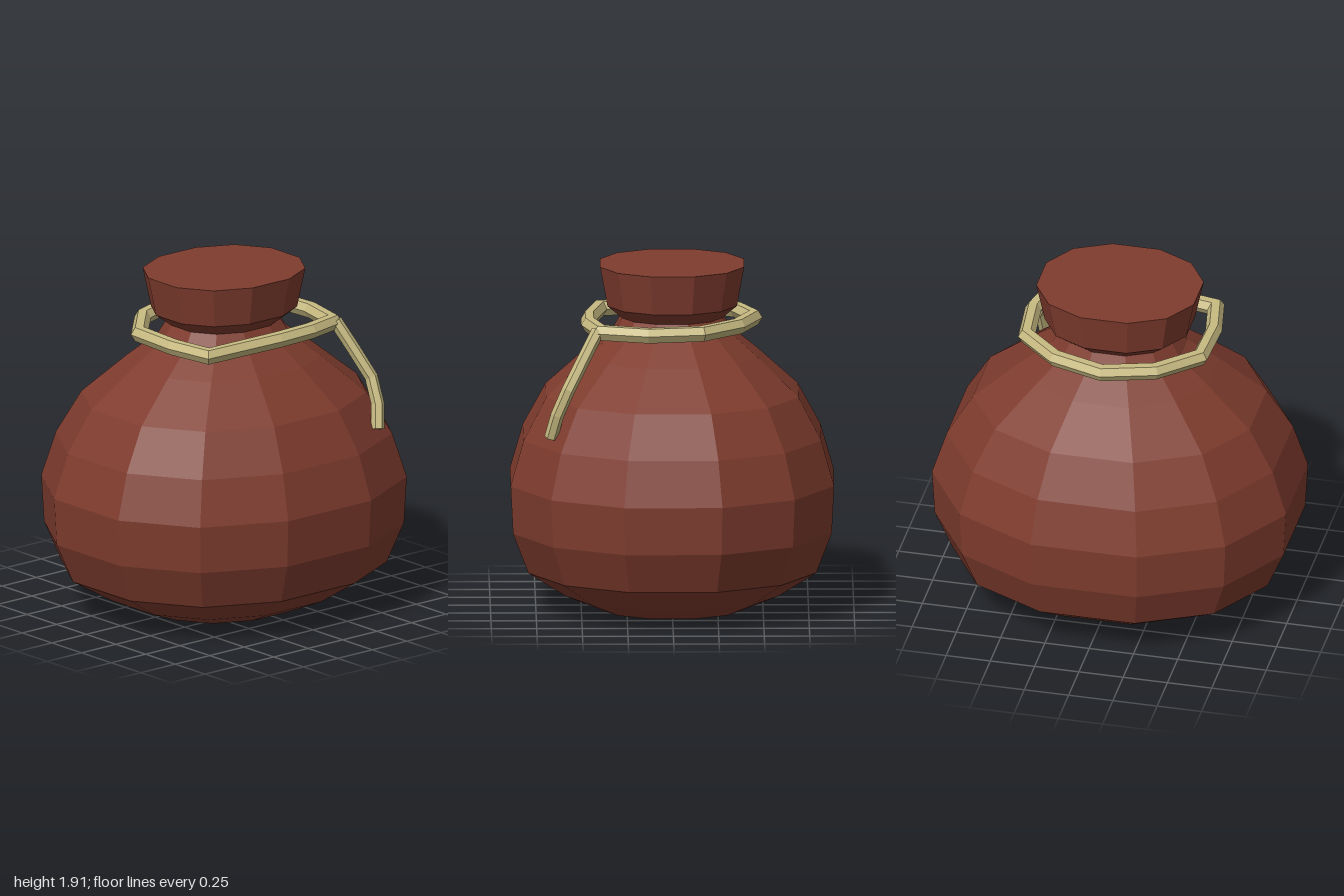
import * as THREE from 'three';

const leather = new THREE.MeshStandardMaterial({ color: 0x7f3c2e });
leather.name = 'red brown leather';
const cord = new THREE.MeshStandardMaterial({ color: 0xc8bb82 });
cord.name = 'straw rope';

// Skin a list of equal-length rings of points into a faceted surface.
function loft(rings, closed) {
  const n = rings[0].length;
  const index = [];
  const spans = closed ? rings.length : rings.length - 1;
  for (let i = 0; i < spans; i++) {
    const lo = i * n;
    const hi = ((i + 1) % rings.length) * n;
    for (let j = 0; j < n; j++) {
      const k = (j + 1) % n;
      index.push(lo + j, hi + j, lo + k, lo + k, hi + j, hi + k);
    }
  }
  if (!closed) {
    const top = (rings.length - 1) * n;
    for (let j = 1; j < n - 1; j++) {
      index.push(0, j, j + 1, top, top + j + 1, top + j);
    }
  }
  const indexed = new THREE.BufferGeometry().setFromPoints(rings.flat());
  indexed.setIndex(index);
  const geometry = indexed.toNonIndexed();
  geometry.computeVertexNormals();
  return geometry;
}

// Hexagonal rope along a polyline, mitred at the corners.
function rope(path, radius, up, closed) {
  const pts = path.map((p) => new THREE.Vector3(...p));
  const n = pts.length;
  const rings = pts.map((p, i) => {
    const prev = closed || i > 0 ? pts[(i + n - 1) % n] : null;
    const next = closed || i < n - 1 ? pts[(i + 1) % n] : null;
    const into = (prev ? p.clone().sub(prev) : next.clone().sub(p)).normalize();
    const out = (next ? next.clone().sub(p) : into.clone()).normalize();
    const t = into.clone().add(out).normalize();
    const side = t.clone().cross(up).normalize();
    const rise = side.clone().cross(t);
    const mitre = 1 / t.dot(out);
    return Array.from({ length: 6 }, (_, j) => {
      const a = (j * Math.PI) / 3;
      return p.clone()
        .addScaledVector(side, Math.cos(a) * radius * mitre)
        .addScaledVector(rise, Math.sin(a) * radius);
    });
  });
  return loft(rings, closed);
}

function addPart(group, name, geometry, material) {
  const mesh = new THREE.Mesh(geometry, material);
  mesh.name = name;
  group.add(mesh);
}

export function createModel() {
  const group = new THREE.Group();
  group.name = 'tiedSack';

  // Twelve-sided plan of the sack, mirrored from one quarter
  const quarter = [[1, 0.27], [0.75, 0.67], [0.3, 0.89]];
  const half = [...quarter, ...quarter.map(([x, z]) => [-x, z]).reverse()];
  const plan = [...half, ...half.map(([x, z]) => [-x, -z])];

  // Sack profile: half width, height
  const profile = [
    [0.45, 0], [0.66, 0.085], [0.89, 0.225], [0.985, 0.45], [1, 0.715],
    [0.92, 0.965], [0.78, 1.2], [0.53, 1.41], [0.36, 1.54], [0.31, 1.62],
    [0.4, 1.69], [0.445, 1.91],
  ];
  const rings = profile.map(([r, y]) => plan.map(([x, z]) => new THREE.Vector3(x * r, y, z * r)));
  addPart(group, 'sack', loft(rings, false), leather);

  // Loose rope loop round the neck
  const loop = [
    [0, 1.605, -0.45], [0.28, 1.605, -0.36], [0.49, 1.6, -0.16], [0.52, 1.595, 0.13],
    [0.45, 1.6, 0.395], [0.23, 1.605, 0.455], [0, 1.6, 0.455], [-0.45, 1.58, 0.395],
    [-0.495, 1.585, 0.15], [-0.485, 1.59, -0.15], [-0.28, 1.6, -0.36],
  ];
  addPart(group, 'neckRope', rope(loop, 0.046, new THREE.Vector3(0, 1, 0), true), cord);

  // Hanging end of the rope
  const tail = [[0.455, 1.61, 0.41], [0.515, 1.46, 0.49], [0.575, 1.3, 0.575], [0.57, 1.16, 0.635], [0.54, 1.03, 0.67]];
  addPart(group, 'ropeTail', rope(tail, 0.037, new THREE.Vector3(0.5, 0.3, 0.8), false), cord);

  return group;
}
